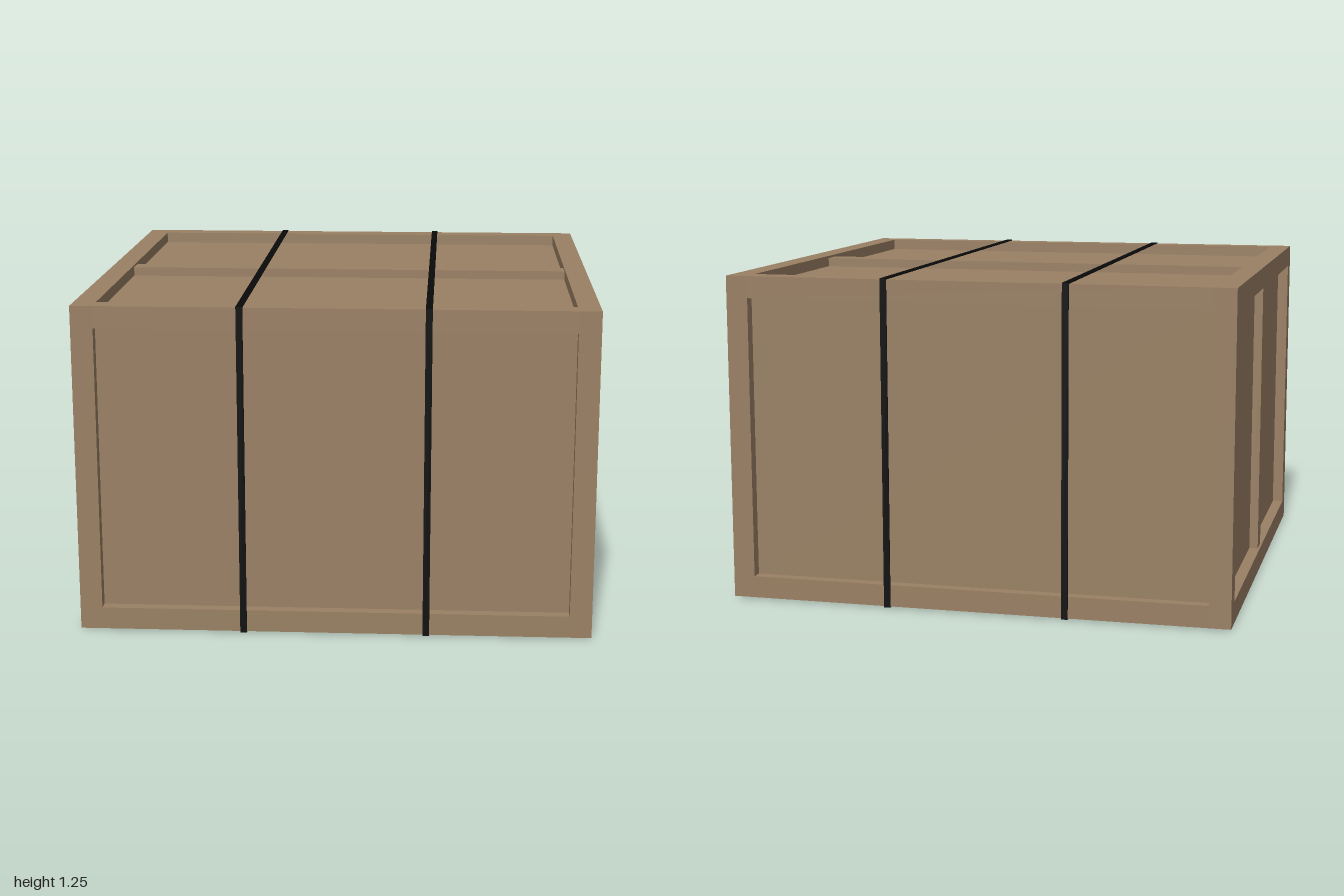
import * as THREE from 'three';

export function createModel() {
  const wood = new THREE.MeshStandardMaterial({ color: 0x9a8064 });
  wood.name = 'brown wood';
  const black = new THREE.MeshStandardMaterial({ color: 0x0a0a0a });
  black.name = 'black strap';

  const W = 1.922, H = 1.24, D = 1.87; // outer size of the crate
  const beam = 0.083;                  // frame thickness
  const recess = 0.043;                // how deep the panels sit
  const battenGap = 0.009;             // battens sit just below the frame
  const strap = 0.004, strapWidth = 0.025;

  const crate = new THREE.Group();
  crate.name = 'crate';

  const box = (name, w, h, d, x, y, z) => {
    const mesh = new THREE.Mesh(new THREE.BoxGeometry(w, h, d), wood);
    mesh.name = name;
    mesh.position.set(x, y, z);
    crate.add(mesh);
  };

  // Recessed panels as one inner box
  box('panels', W - 2 * recess, H - 2 * recess, D - 2 * recess, 0, 0, 0);

  // Frame: four posts, four long rails, four side rails
  const fx = (W - beam) / 2, fy = (H - beam) / 2, fz = (D - beam) / 2;
  for (const a of [-1, 1]) {
    for (const b of [-1, 1]) {
      box('cornerPost', beam, H, beam, a * fx, 0, b * fz);
      box('longRail', W - 2 * beam, beam, beam, 0, a * fy, b * fz);
      box('sideRail', beam, beam, D - 2 * beam, a * fx, b * fy, 0);
    }
  }

  // Middle battens on the top, bottom, left and right
  const t = recess - battenGap;
  for (const s of [-1, 1]) {
    box('flatBatten', W - 2 * beam, t, 0.086, 0, s * (H / 2 - battenGap - t / 2), 0);
    box('sideBatten', t, H - 2 * beam, 0.086, s * (W / 2 - battenGap - t / 2), 0, 0);
  }

  // Two straps stretched around the crate
  const rect = (Type, w, h) => new Type([
    new THREE.Vector2(-w, -h), new THREE.Vector2(w, -h),
    new THREE.Vector2(w, h), new THREE.Vector2(-w, h),
  ]);
  const loop = rect(THREE.Shape, D / 2 + strap, H / 2 + strap);
  loop.holes.push(rect(THREE.Path, D / 2, H / 2));
  const strapGeometry = new THREE.ExtrudeGeometry(loop, { depth: strapWidth, bevelEnabled: false });
  strapGeometry.translate(0, 0, -strapWidth / 2);
  strapGeometry.rotateY(Math.PI / 2);
  for (const s of [-1, 1]) {
    const mesh = new THREE.Mesh(strapGeometry, black);
    mesh.name = s < 0 ? 'rightStrap' : 'leftStrap';
    mesh.position.x = s * 0.343;
    crate.add(mesh);
  }

  // The crate stands slightly turned
  crate.rotation.y = -0.0417;
  crate.position.y = H / 2 + strap;

  const model = new THREE.Group();
  model.name = 'strappedCrate';
  model.add(crate);
  return model;
}
